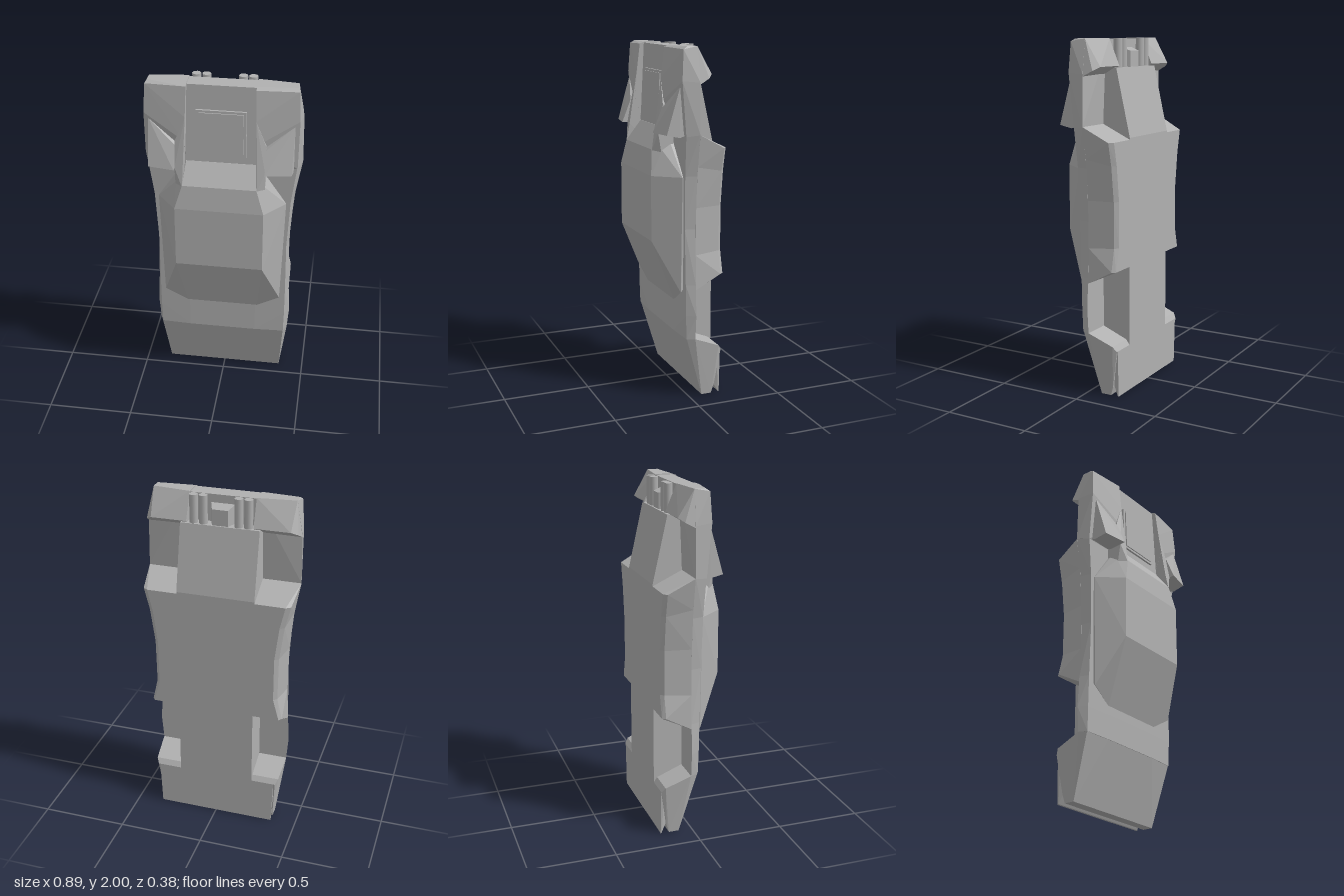
import * as THREE from 'three';
import { ConvexGeometry } from 'three/addons/geometries/ConvexGeometry.js';

// A wedge-shaped car standing on its nose: length along y, roof towards +z.
export function createModel() {
  const model = new THREE.Group();
  const grey = new THREE.MeshStandardMaterial({ color: 0xb0b0b0 });

  const flip = (pts) => pts.map(([x, y, z]) => [-x, y, z]);
  function hull(name, pts) {
    const geo = new ConvexGeometry(pts.map((p) => new THREE.Vector3(...p)));
    const mesh = new THREE.Mesh(geo, grey);
    mesh.name = name;
    model.add(mesh);
  }
  // One block spanning both sides
  const across = (name, pts) => hull(name, [...pts, ...flip(pts)]);
  // Two mirrored blocks
  const sides = (name, pts) => {
    hull('left' + name, pts);
    hull('right' + name, flip(pts));
  };

  // Nose and hood front
  across('nose', [
    [0.35, 0, -0.08], [0.35, 0, -0.14], [0.353, 0.05, -0.155], [0.37, 0.27, -0.19],
    [0.385, 0.3, -0.17], [0.395, 0.36, -0.02], [0.375, 0.37, 0.027], [0.2, 0.37, 0.035],
  ]);
  across('splitter', [
    [0.35, 0, -0.19], [0.35, 0.004, -0.184], [0.34, 0.06, -0.155], [0.36, 0.27, -0.19], [0.36, 0.25, -0.17],
  ]);

  // Upper body: y, crown x, crown z, shoulder x, shoulder z, waist x
  const upper = [
    [0.36, 0.2, 0.035, 0.375, 0.027, 0.395],
    [0.5, 0.2, 0.038, 0.378, 0.031, 0.406],
    [0.68, 0.2, 0.041, 0.378, 0.034, 0.396],
    [1.0, 0.2, 0.045, 0.375, 0.04, 0.386],
    [1.3, 0.25, 0.05, 0.39, 0.045, 0.405],
    [1.54, 0.25, 0.058, 0.42, 0.052, 0.445],
  ];
  const upperRing = ([y, cx, cz, sx, sz, wx]) => [[cx, y, cz], [sx, y, sz], [wx, y, -0.02]];
  for (let i = 0; i + 1 < upper.length; i++) {
    across('upperBody', [...upperRing(upper[i]), ...upperRing(upper[i + 1])]);
  }

  // Side skirts between the wheel wells: y at waist, waist x, y at sill, sill x, floor x
  const skirt = [
    [0.65, 0.397, 0.73, 0.395, 0.38],
    [0.85, 0.388, 0.86, 0.365, 0.345],
    [1.12, 0.391, 1.12, 0.368, 0.345],
    [1.35, 0.412, 1.32, 0.395, 0.37],
    [1.53, 0.445, 1.45, 0.427, 0.4],
  ];
  const skirtRing = ([yw, wx, ys, sx, fx]) => [
    [0.2, yw, -0.02], [wx, yw, -0.02], [sx, ys, -0.17], [fx, ys, -0.19], [0.2, ys, -0.19],
  ];
  for (let i = 0; i + 1 < skirt.length; i++) {
    sides('Skirt', [...skirtRing(skirt[i]), ...skirtRing(skirt[i + 1])]);
  }

  // Flat underside that rises towards the tail
  across('floorPan', [
    [0.225, 0.2, -0.18], [0.225, 0.27, -0.19], [0.225, 1.46, -0.19], [0.225, 1.84, -0.104],
    [0.225, 1.84, 0], [0.225, 0.36, 0],
  ]);

  // Canopy with windscreen, side windows and sloping rear
  across('canopy', [
    [0.25, 0.92, 0.19], [0.25, 1.29, 0.19], [0.207, 1.43, 0.17], [0.25, 1.43, 0.125],
    [0.365, 1.29, 0.05], [0.345, 0.63, 0.05], [0.21, 0.55, 0.038],
    [0.365, 1.28, 0.03], [0.34, 0.65, 0.03], [0.195, 1.545, 0.085], [0.195, 1.545, 0.04],
  ]);

  // Engine deck floor between the buttresses
  across('engineDeck', [
    [0.21, 1.5, 0.085], [0.21, 1.5, -0.035], [0.195, 1.995, 0.065], [0.195, 1.995, -0.035],
  ]);

  // Raised hatch frame and its panel
  const frame = [[-0.14, 1.585], [0.14, 1.585], [0.14, 1.855], [-0.14, 1.855]];
  const deckZ = (y) => 0.085 - (y - 1.5) * 0.04;
  hull('hatchFrame', frame.flatMap(([x, y]) => [[x, y, deckZ(y) - 0.01], [x * 0.98, y, deckZ(y) + 0.012]]));
  hull('hatchPanel', frame.flatMap(([x, y]) => {
    const px = x * 0.89, py = 1.72 + (y - 1.72) * 0.9;
    return [[px, py, deckZ(py)], [px * 0.98, py, deckZ(py) + 0.018]];
  }));

  // Buttresses running back from the roof
  sides('Buttress', [
    [0.207, 1.42, 0.17], [0.25, 1.42, 0.13], [0.25, 1.53, 0.148], [0.2, 1.53, 0.152],
    [0.193, 1.82, 0.11], [0.25, 1.68, 0.12], [0.207, 1.42, 0.04], [0.25, 1.42, 0.04],
    [0.193, 1.82, 0.04], [0.25, 1.68, 0.04],
  ]);

  // Rear fenders on each side of the engine deck
  sides('RearFender', [
    [0.2, 1.52, 0.058], [0.42, 1.52, 0.052], [0.445, 1.53, -0.02], [0.2, 1.52, -0.02],
    [0.196, 1.68, 0.12], [0.193, 1.82, 0.11], [0.188, 1.99, 0.09], [0.425, 1.82, 0.078],
    [0.44, 1.81, -0.02], [0.415, 1.985, 0.068], [0.188, 2, 0.062], [0.405, 2, 0.045],
    [0.405, 2, -0.015], [0.188, 2, -0.04], [0.193, 1.82, -0.02],
  ]);

  // Wedge-shaped air intakes
  sides('Intake', [
    [0.25, 1.53, 0.18], [0.395, 1.53, 0.155], [0.25, 1.66, 0.128], [0.4, 1.79, 0.08],
    [0.25, 1.52, 0.08], [0.4, 1.515, 0.08], [0.25, 1.7, 0.05], [0.4, 1.79, 0.05],
    [0.25, 1.525, 0.05], [0.4, 1.525, 0.05],
  ]);

  // Lower tail corners behind the rear wheel wells
  sides('TailCorner', [
    [0.19, 1.8, -0.02], [0.44, 1.8, -0.02], [0.43, 1.83, -0.075], [0.395, 1.85, -0.104],
    [0.19, 1.85, -0.104], [0.405, 2, -0.015], [0.188, 2, -0.04], [0.188, 1.99, 0], [0.405, 1.99, 0],
  ]);

  // Gearbox block and exhaust pipes in the tail recess
  across('gearbox', [
    [0.07, 1.83, -0.03], [0.045, 1.83, -0.095], [0.07, 1.95, -0.03], [0.045, 1.93, -0.095],
  ]);
  for (const x of [-0.155, -0.1, 0.1, 0.155]) {
    const pipe = new THREE.Mesh(new THREE.CylinderGeometry(0.025, 0.025, 0.17, 8), grey);
    pipe.name = 'exhaustPipe';
    pipe.position.set(x, 1.915, -0.075);
    model.add(pipe);
  }

  return model;
}
